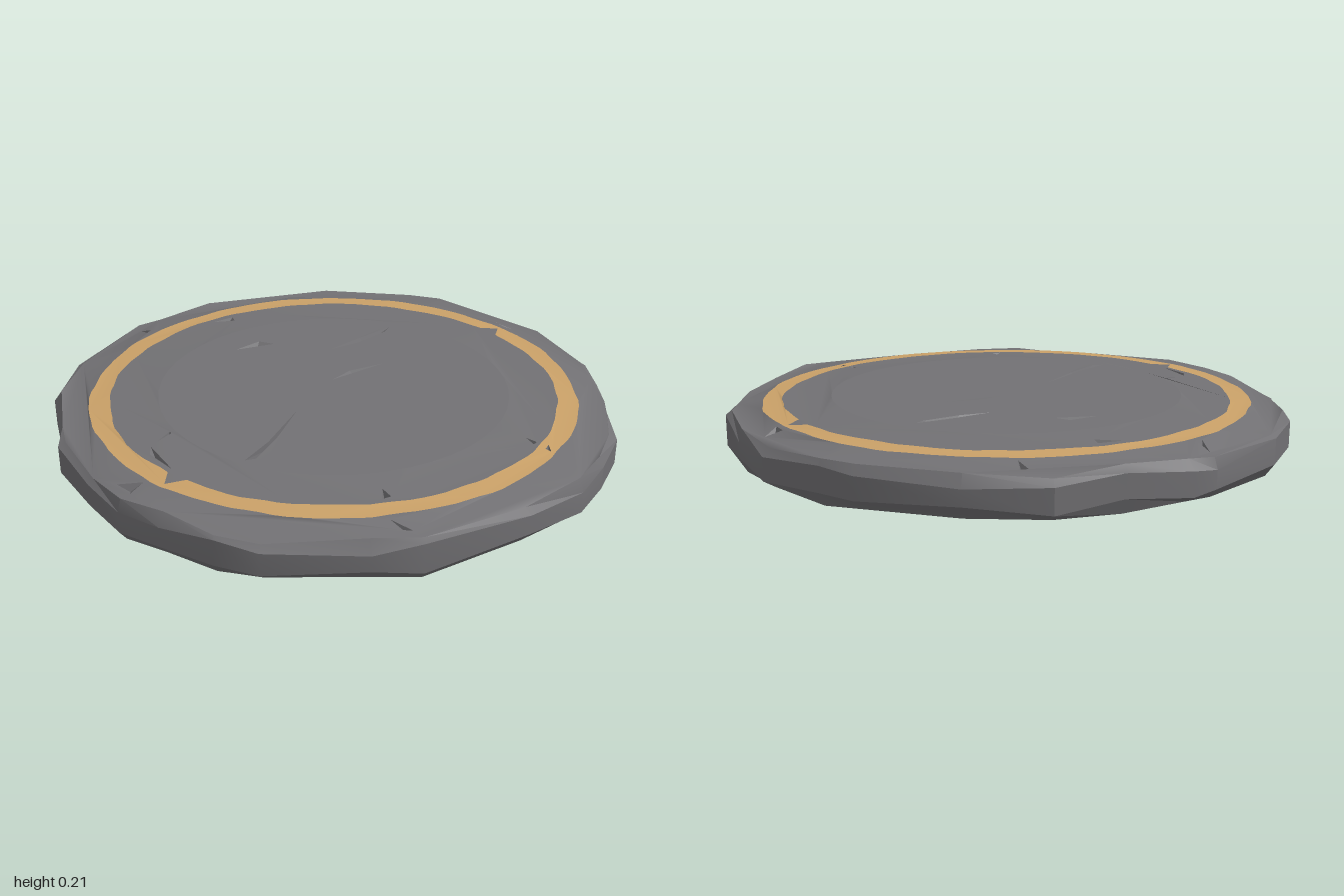
import * as THREE from 'three';
import { toCreasedNormals } from 'three/addons/utils/BufferGeometryUtils.js';

// Rough-hewn outline as x, z pairs
const OUTLINE = [[-.06, -1], [.07, -1], [.34, -.94], [.53, -.83], [.76, -.63], [.83, -.52], [.91, -.34], [1, -.1],
  [1, .1], [.97, .25], [.86, .48], [.61, .78], [.47, .87], [.15, .99], [0, 1], [-.2, .97], [-.37, .92], [-.52, .84],
  [-.75, .64], [-.8, .54], [-.94, .34], [-1, .06], [-.96, -.32], [-.92, -.4], [-.78, -.59], [-.64, -.78], [-.4, -.92]];

// Cracks and chips, each a small x, z polygon sunk into a face
const TOP_CRACKS = [
  [[0, -.57], [0, -.53], [-.06, -.4], [-.13, -.31], [-.07, -.44]],
  [[.09, -.26], [-.03, -.07], [0, -.16]],
  [[-.055, .2], [-.04, .4], [-.045, .57], [-.075, .595], [-.055, .45]],
  [[-.35, -.27], [-.46, -.17], [-.41, -.27]],
  [[-.61, -.46], [-.585, -.43], [-.66, -.39]],
  [[-.41, .61], [-.39, .655], [-.28, .715]],
  [[-.395, .5], [-.385, .51], [-.405, .57]],
  [[.4, .59], [.42, .645], [.44, .62]],
  [[.81, .1], [.83, .14], [.808, .13]],
  [[.73, .09], [.765, .12], [.77, .1]],
  [[.36, -.81], [.42, -.83], [.41, -.78]],
  [[-.91, -.27], [-.86, -.25], [-.86, -.22]],
  [[-.33, .815], [-.42, .83], [-.35, .87]],
  [[-.52, -.78], [-.49, -.74], [-.56, -.75]],
  [[.48, .74], [.56, .75], [.53, .76]],
];
const BOTTOM_CRACKS = [
  [[-.31, -.18], [-.54, -.02], [-.33, .08], [-.11, -.07]],
  [[-.03, -.25], [.18, -.04], [.07, -.13]],
  [[.55, -.01], [.28, 0], [.4, .015]],
  [[-.53, .61], [-.56, .61], [-.54, .635]],
  [[.52, .5], [.58, .48], [.54, .45]],
];

const topRimY = a => .18 + .009 * Math.sin(7 * a + 1) + .006 * Math.sin(12 * a);
const bottomRimY = a => .036 + .006 * Math.sin(6 * a) + .004 * Math.sin(11 * a + 2);

// Height of each face: flat centre, gentle fall to the ring, then the rim
function faceY(x, z, top) {
  const r = Math.hypot(x, z), a = Math.atan2(z, x);
  if (r > .92) return top ? topRimY(a) : bottomRimY(a);
  const t = THREE.MathUtils.clamp((r - .6) / .3, 0, 1);
  return top ? .218 - .02 * t : .003 + .02 * t;
}

const scaled = k => OUTLINE.map(([x, z], i) => {
  const s = k + .01 * Math.sin(i * 2.4);
  return [x * s, z * s];
});

// Uneven circle; the gaps are angles where the painted ring is worn thin
function circle(r, n, wobble, gaps = []) {
  return Array.from({ length: n }, (_, i) => {
    const a = i / n * Math.PI * 2;
    let s = r + wobble * (Math.sin(9 * a + r * 40) + .7 * Math.sin(23 * a + r * 90) + .5 * Math.sin(37 * a));
    if (gaps.some(g => Math.abs(Math.atan2(Math.sin(a - g), Math.cos(a - g))) < .035)) s = r + .055;
    return [Math.cos(a) * s, Math.sin(a) * s];
  });
}

const toVectors = pts => pts.map(([x, z]) => new THREE.Vector2(x, -z));

// One band of a face with holes cut for the cracks
function bandGeometry(outer, holes, top) {
  const shape = new THREE.Shape(toVectors(outer));
  shape.holes = holes.map(h => new THREE.Path(toVectors(h)));
  const geo = new THREE.ShapeGeometry(shape).rotateX(-Math.PI / 2);
  const p = geo.attributes.position;
  for (let i = 0; i < p.count; i++) p.setY(i, faceY(p.getX(i), p.getZ(i), top));
  if (!top) geo.index.array.reverse();
  geo.computeVertexNormals();
  return geo;
}

// Faceted pit running from a crack's edge down to its deepest point
function pitGeometry(poly, top, depth) {
  const pts = THREE.ShapeUtils.isClockWise(toVectors(poly)) ? [...poly].reverse() : poly;
  const mx = pts.reduce((s, p) => s + p[0], 0) / pts.length;
  const mz = pts.reduce((s, p) => s + p[1], 0) / pts.length;
  const deep = [mx, faceY(mx, mz, top) + (top ? -depth : depth), mz];
  const pos = [];
  pts.forEach((p, i) => {
    const q = pts[(i + 1) % pts.length];
    const a = [p[0], faceY(...p, top), p[1]], b = [q[0], faceY(...q, top), q[1]];
    pos.push(...(top ? [a, b, deep] : [b, a, deep]).flat());
  });
  const geo = new THREE.BufferGeometry();
  geo.setAttribute('position', new THREE.Float32BufferAttribute(pos, 3));
  geo.computeVertexNormals();
  return geo;
}

// Chiselled side wall lofted through four loops, top to bottom
function wallGeometry(topRim, bottomRim) {
  const n = OUTLINE.length;
  const loops = [
    topRim.map(([x, z]) => [x, faceY(x, z, true), z]),
    OUTLINE.map(([x, z], i) => [x, .15 + .015 * Math.sin(i * 1.9), z]),
    OUTLINE.map(([x, z], i) => [x * .998, .07 + .014 * Math.sin(i * 2.7), z * .998]),
    bottomRim.map(([x, z]) => [x, faceY(x, z, false), z]),
  ];
  const index = [];
  for (let j = 0; j < 3; j++) {
    for (let i = 0; i < n; i++) {
      const k = (i + 1) % n, a = j * n + i, b = j * n + k, c = a + n, d = b + n;
      index.push(a, b, c, b, d, c);
    }
  }
  const geo = new THREE.BufferGeometry();
  geo.setAttribute('position', new THREE.Float32BufferAttribute(loops.flat(2), 3));
  geo.setIndex(index);
  return toCreasedNormals(geo, .4);
}

export function createModel() {
  const stone = new THREE.MeshStandardMaterial({ color: 0x727174 });
  stone.name = 'stone grey';
  const gold = new THREE.MeshStandardMaterial({ color: 0xcaa168 });
  gold.name = 'ring gold';

  const model = new THREE.Group();
  model.name = 'stoneDisc';
  const add = (parent, name, geo, mat) => {
    const mesh = new THREE.Mesh(geo, mat);
    mesh.name = name;
    parent.add(mesh);
  };

  const topRim = scaled(.98), bottomRim = scaled(.965);
  add(model, 'sideWall', wallGeometry(topRim, bottomRim), stone);

  const limits = [.62, .79, .86, 2];
  const names = ['centre', 'innerSlope', 'paintedRing', 'outerBorder'];
  for (const top of [true, false]) {
    const face = new THREE.Group();
    face.name = top ? 'topFace' : 'bottomFace';
    model.add(face);
    const gaps = top ? [Math.atan2(-.8, .42), Math.atan2(.79, -.26)] : [Math.atan2(-.81, .21)];
    const edges = [circle(.62, 48, 0), circle(.79, 120, .003, gaps), circle(.86, 120, .003), top ? topRim : bottomRim];
    const cracks = top ? TOP_CRACKS : BOTTOM_CRACKS;
    const bandOf = poly => {
      const r = poly.reduce((s, p) => s + Math.hypot(...p), 0) / poly.length;
      return limits.findIndex(l => r < l);
    };
    names.forEach((name, b) => {
      const holes = cracks.filter(c => bandOf(c) === b);
      if (b > 0) holes.unshift(edges[b - 1]);
      add(face, name, bandGeometry(edges[b], holes, top), b === 2 ? gold : stone);
    });
    cracks.forEach(c => add(face, 'crack', pitGeometry(c, top, .03), stone));
  }
  return model;
}
